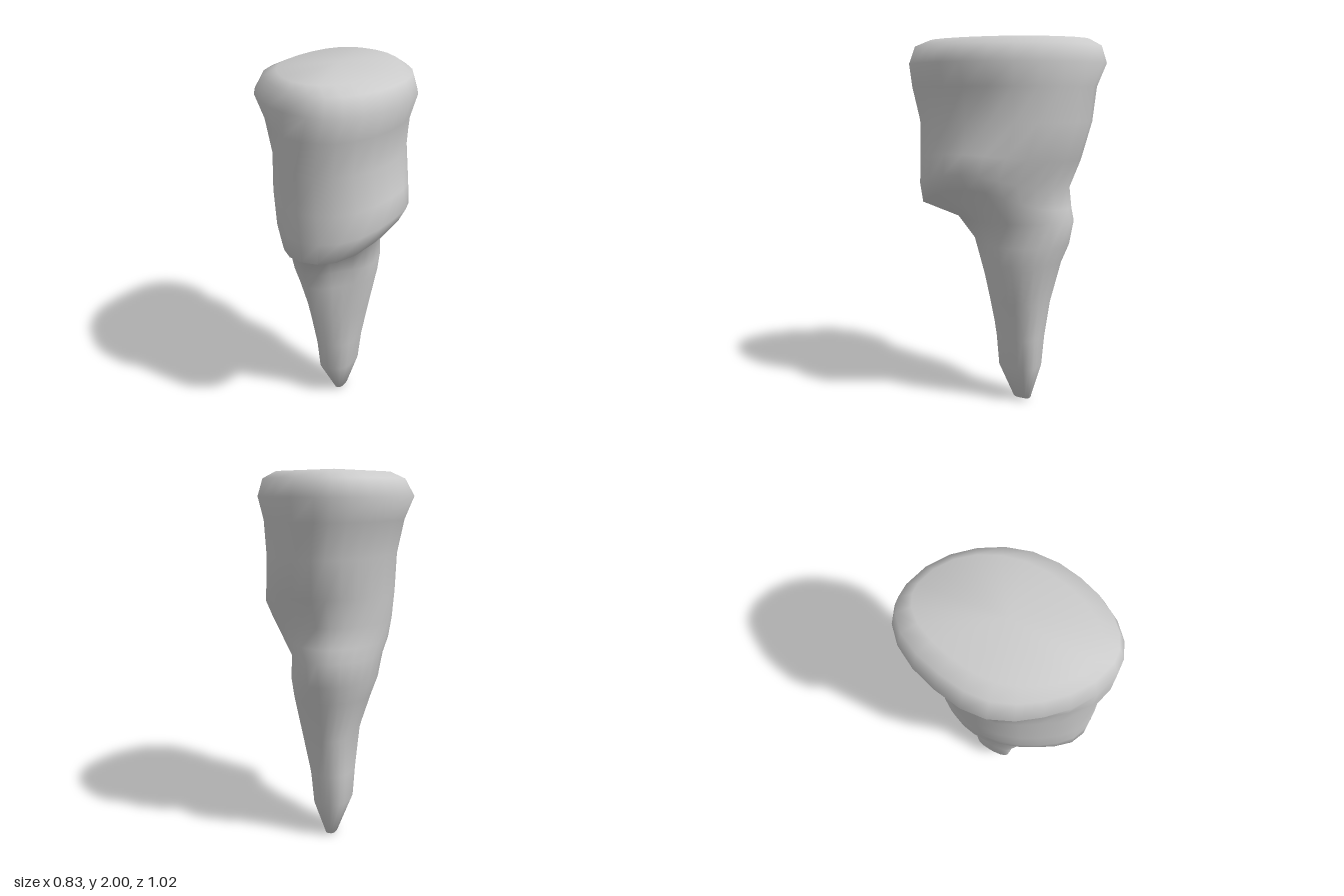
import * as THREE from 'three';
import { toCreasedNormals } from 'three/addons/utils/BufferGeometryUtils.js';

// Cross-sections from bottom to top. Each is four quarter-ellipses joining its extremes:
// [y, xMin, xMax, zMin, zMax, x of front, x of back, z of sides, lift of the +x side,
//  fullness of the corners: front -x, front +x, back -x, back +x]
const SPIKE = [
  [0.01, -0.05, 0.00, -0.14, -0.04, -0.03, -0.02, -0.10, 0, 0, 0.1, 0.15, 0.15],
  [0.20, -0.12, 0.06, -0.19, 0.05, -0.08, -0.02, -0.08, 0, 0, 0.14, 0.14, 0.22],
  [0.37, -0.13, 0.085, -0.21, 0.07, -0.09, -0.02, -0.08, 0, -0.02, 0.08, 0.1, 0.12],
  [0.58, -0.145, 0.13, -0.25, 0.135, -0.09, -0.03, -0.09, 0, -0.03, -0.05, 0.03, 0.06],
  [0.80, -0.22, 0.18, -0.305, 0.20, -0.08, -0.04, -0.07, 0, -0.02, -0.14, 0, 0.04],
  [0.90, -0.255, 0.19, -0.345, 0.235, -0.08, -0.05, -0.06, 0, -0.02, -0.17, 0, 0.04],
  [1.03, -0.275, 0.205, -0.37, 0.32, -0.03, -0.05, -0.04, 0, -0.06, -0.10, 0.01, -0.04],
];
const CROWN = [
  [1.10, -0.285, 0.36, -0.355, 0.46, 0.03, -0.05, 0.02, 0.12, -0.09, 0.04, 0.01, -0.12],
  [1.21, -0.30, 0.405, -0.345, 0.465, 0.03, -0.04, 0.03, 0.09, -0.06, 0.03, 0, -0.10],
  [1.36, -0.315, 0.385, -0.41, 0.47, 0.02, -0.04, 0.03, 0.04, -0.07, 0.03, 0, -0.04],
  [1.56, -0.33, 0.35, -0.465, 0.475, 0.02, -0.06, 0.03, 0, -0.12, 0.05, 0, 0],
  [1.74, -0.37, 0.37, -0.475, 0.51, 0.07, -0.08, 0.03, 0, -0.10, 0.03, 0.02, -0.01],
  [1.86, -0.42, 0.41, -0.515, 0.51, 0.10, -0.10, 0.03, 0, -0.05, 0.01, 0.04, -0.03],
  [1.95, -0.37, 0.375, -0.485, 0.48, 0.10, -0.10, 0.02, 0, -0.05, 0.01, 0.07, -0.02],
  [1.985, -0.29, 0.29, -0.43, 0.42, 0.05, -0.08, 0.01, 0, -0.05, 0.02, 0.05, 0],
];
const SECTIONS = [...SPIKE, ...CROWN];
const SIDES = 24;

function sectionPoint([y, x0, x1, z0, z1, front, back, side, lift, ...corners], i) {
  const a = (i / SIDES) * Math.PI * 2;
  const s = Math.sin(a), c = Math.cos(a);
  // swell or pinch the four corners, leaving the extremes in place
  const corner = corners[(c > 0 ? 0 : 2) + (s > 0 ? 1 : 0)];
  const full = 1 + corner * Math.sin(2 * a) ** 2;
  const mid = c >= 0 ? front : back;
  const x = mid + (s > 0 ? x1 - mid : mid - x0) * s * full;
  const z = side + (c > 0 ? z1 - side : side - z0) * c * full;
  // the shoulder's lower edge climbs towards +x
  return [x, y + lift * Math.max(0, s) ** 3, z];
}

function loft() {
  const positions = [], index = [];
  for (const section of SECTIONS)
    for (let i = 0; i < SIDES; i++) positions.push(...sectionPoint(section, i));

  // side wall
  for (let j = 0; j < SECTIONS.length - 1; j++)
    for (let i = 0; i < SIDES; i++) {
      const n = (i + 1) % SIDES;
      const a = j * SIDES + i, b = j * SIDES + n;
      index.push(a, b, b + SIDES, a, b + SIDES, a + SIDES);
    }

  // caps on the tip and the crown
  const top = (SECTIONS.length - 1) * SIDES;
  const tipCentre = positions.length / 3;
  positions.push(-0.025, 0, -0.12, 0, 2, 0);
  for (let i = 0; i < SIDES; i++) {
    const n = (i + 1) % SIDES;
    index.push(n, i, tipCentre, top + i, top + n, tipCentre + 1);
  }

  const geometry = new THREE.BufferGeometry();
  geometry.setAttribute('position', new THREE.Float32BufferAttribute(positions, 3));
  geometry.setIndex(index);
  return toCreasedNormals(geometry, 1.1);
}

export function createModel() {
  const group = new THREE.Group();
  group.name = 'rockSpike';
  const rock = new THREE.Mesh(loft(), new THREE.MeshStandardMaterial({ color: 0xcccccc }));
  rock.name = 'rockBody';
  group.add(rock);
  return group;
}
